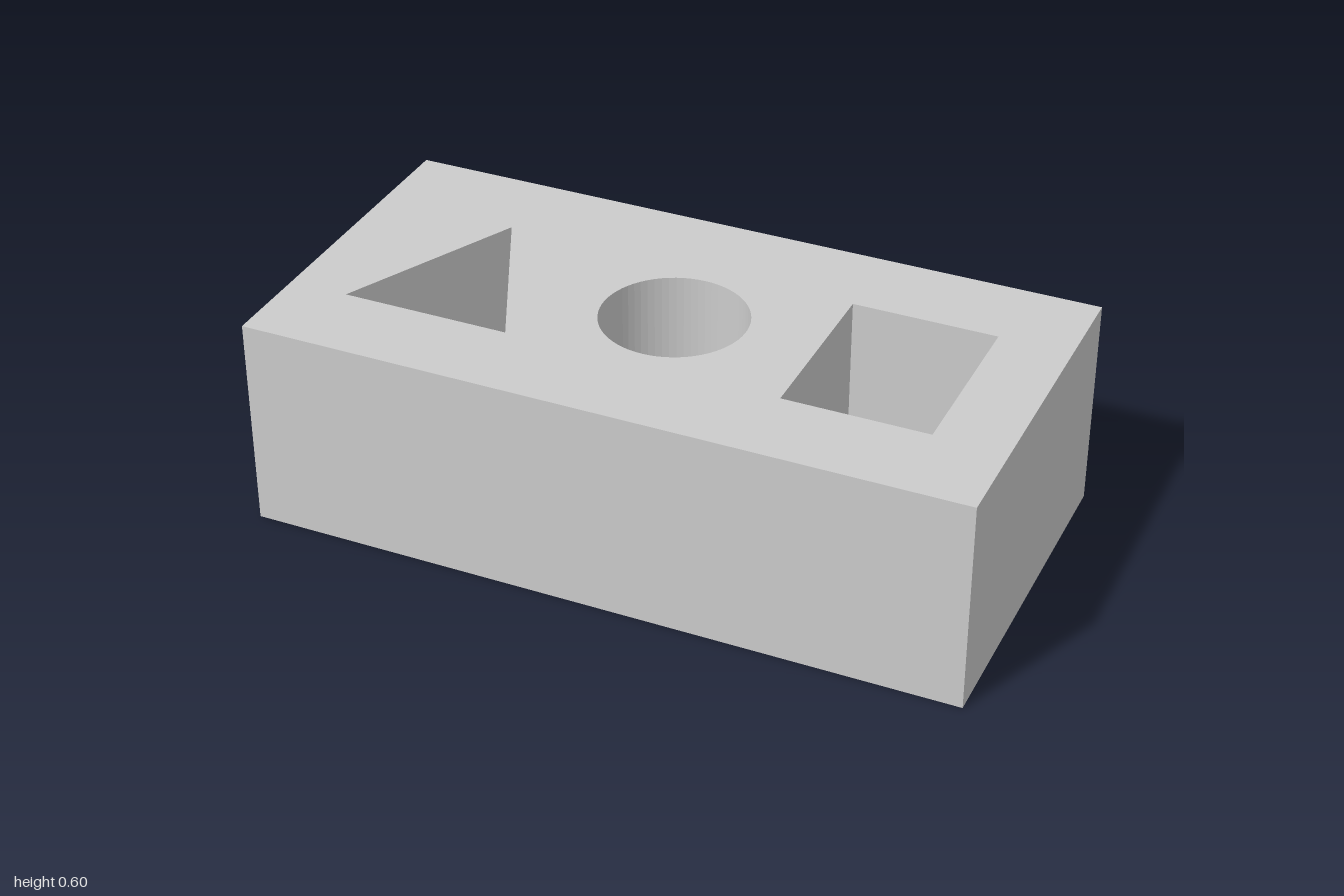
import * as THREE from 'three';
import { mergeGeometries } from 'three/addons/utils/BufferGeometryUtils.js';

const HEIGHT = 0.6, FLOOR = 0.1;
const material = new THREE.MeshStandardMaterial({ color: 0xcccccc });

// Outlines are counterclockwise seen from above, with the second value = -z
const polygon = (...pts) => pts.map(([x, y]) => new THREE.Vector2(x, y));
const rectangle = (cx, w, d) => polygon(
  [cx - w / 2, -d / 2], [cx + w / 2, -d / 2], [cx + w / 2, d / 2], [cx - w / 2, d / 2]);
const circle = (cx, r, n) => polygon(...Array.from({ length: n }, (_, i) => {
  const a = (i / n) * Math.PI * 2;
  return [cx + r * Math.cos(a), r * Math.sin(a)];
}));

// Flat horizontal face facing up
function cap(outline, y, holes = []) {
  const shape = new THREE.Shape(outline);
  shape.holes = holes.map((h) => new THREE.Path([...h].reverse()));
  const geo = new THREE.ShapeGeometry(shape).rotateX(-Math.PI / 2).translate(0, y, 0).toNonIndexed();
  geo.deleteAttribute('uv');
  return geo;
}

// Vertical walls along an outline; reversed outlines face inwards
function walls(outline, y0, y1) {
  const pos = [];
  outline.forEach((a, i) => {
    const b = outline[(i + 1) % outline.length];
    const A = [a.x, y0, -a.y], B = [b.x, y0, -b.y], C = [b.x, y1, -b.y], D = [a.x, y1, -a.y];
    pos.push(...A, ...B, ...C, ...A, ...C, ...D);
  });
  const geo = new THREE.BufferGeometry();
  geo.setAttribute('position', new THREE.Float32BufferAttribute(pos, 3));
  geo.computeVertexNormals();
  return geo;
}

function addPart(group, name, parts) {
  const mesh = new THREE.Mesh(mergeGeometries(parts), material);
  mesh.name = name;
  group.add(mesh);
}

export function createModel() {
  const group = new THREE.Group();
  group.name = 'shapeSorterBlock';

  const outer = rectangle(0, 2, 1);
  const pockets = {
    trianglePocket: polygon([-0.835, -0.25], [-0.365, -0.25], [-0.6, 0.25]),
    roundPocket: circle(0, 0.2, 64),
    rectanglePocket: rectangle(0.6, 0.4, 0.5),
  };

  // Block: outer walls, pierced top and closed underside
  const underside = cap(outer, 0).rotateX(Math.PI);
  addPart(group, 'block', [walls(outer, 0, HEIGHT), cap(outer, HEIGHT, Object.values(pockets)), underside]);

  // Blind pockets: inward walls and a floor
  for (const [name, outline] of Object.entries(pockets)) {
    addPart(group, name, [walls([...outline].reverse(), FLOOR, HEIGHT), cap(outline, FLOOR)]);
  }
  return group;
}
